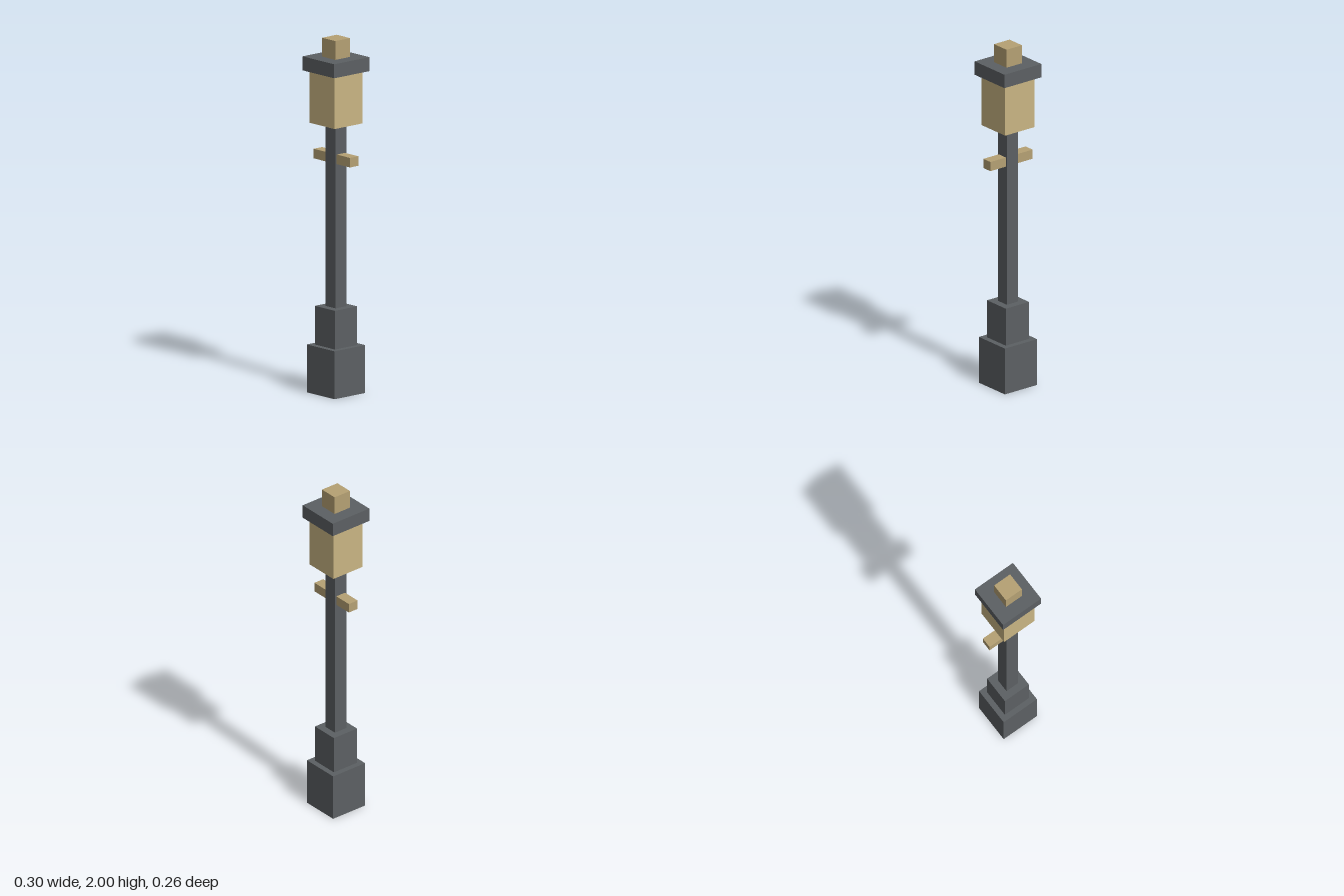
import * as THREE from 'three';

export function createModel() {
  const group = new THREE.Group();
  group.name = 'lampPost';

  const material = (name, color) => {
    const m = new THREE.MeshStandardMaterial({ color });
    m.name = name;
    return m;
  };
  const iron = material('darkIron', 0x5c6063);
  const glass = material('lanternGlass', 0xc9b583);
  const brass = material('brass', 0xb5a174);

  // Upright block centred on the post, from height y0 to y1
  const block = (name, mat, width, y0, y1, depth = width) => {
    const mesh = new THREE.Mesh(new THREE.BoxGeometry(width, y1 - y0, depth), mat);
    mesh.position.y = (y0 + y1) / 2;
    mesh.name = name;
    group.add(mesh);
    return mesh;
  };

  // Stepped base and post
  block('base', iron, 0.227, 0, 0.27);
  block('collar', iron, 0.164, 0.27, 0.488);
  block('post', iron, 0.08, 0.488, 1.52);

  // Ladder rest, one arm on each side of the post
  for (const side of [-1, 1]) {
    const arm = block(side > 0 ? 'leftArm' : 'rightArm', brass, 0.109, 1.3, 1.354, 0.062);
    arm.position.x = side * 0.0945;
  }

  // Lantern, cap and finial
  block('lantern', glass, 0.207, 1.52, 1.815);
  block('cap', iron, 0.26, 1.815, 1.894);
  block('finial', brass, 0.109, 1.894, 2);

  return group;
}
